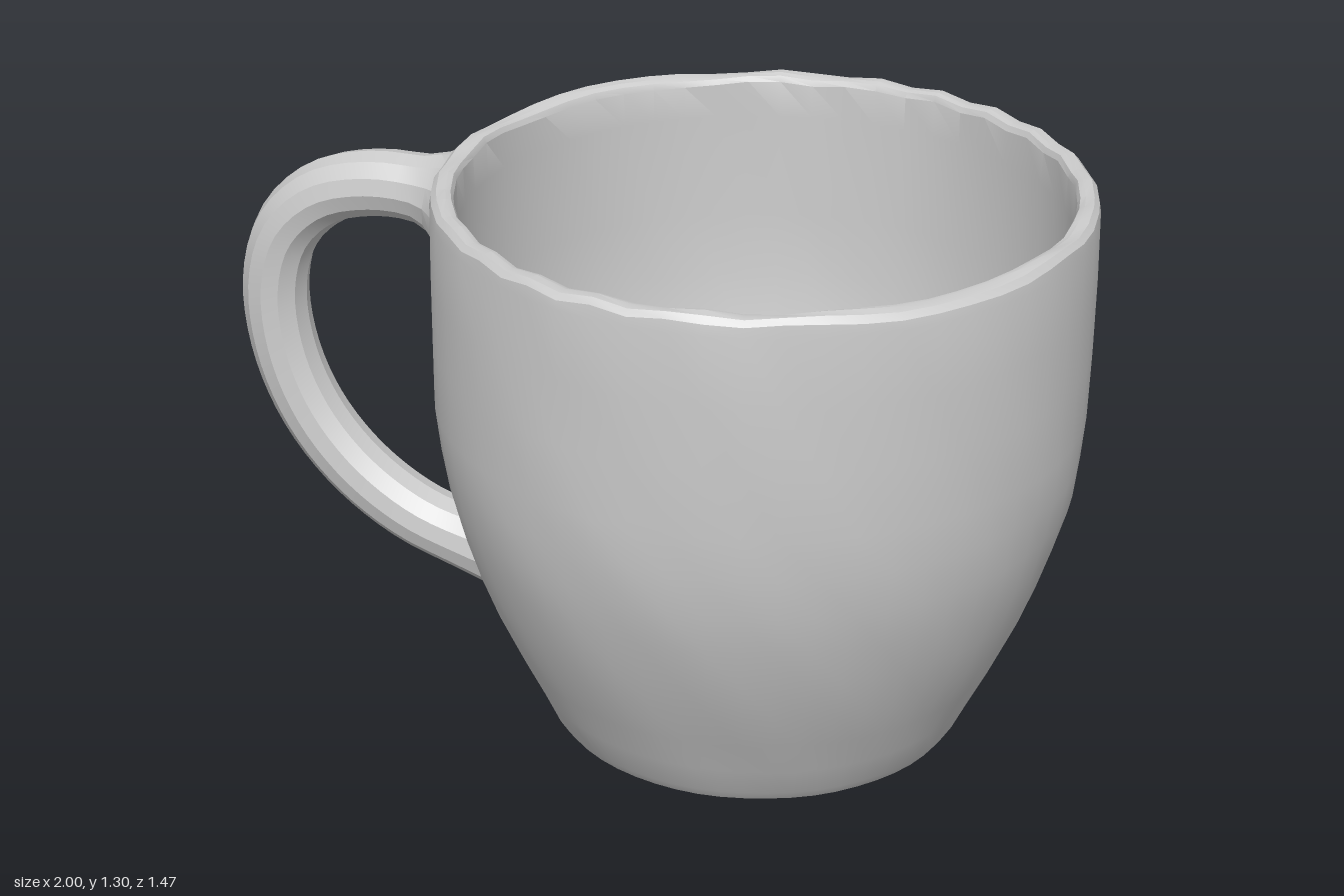
import * as THREE from 'three';
import { toCreasedNormals } from 'three/addons/utils/BufferGeometryUtils.js';

const CUP_X = 0.26, CUP_Z = -0.005;

// Outer wall: [radius, height], from the foot to just below the rim
const WALL = [
  [0.488, 0.035], [0.522, 0.11], [0.566, 0.2], [0.612, 0.3], [0.651, 0.4], [0.684, 0.5],
  [0.71, 0.6], [0.725, 0.7], [0.734, 0.8], [0.737, 0.95], [0.738, 1.1], [0.735, 1.26],
];
// Inner wall, from the rim down to the rounded floor
const INSIDE = [
  [0.682, 1.285], [0.68, 1.2], [0.68, 0.95], [0.67, 0.8], [0.645, 0.6], [0.612, 0.5],
  [0.572, 0.4], [0.515, 0.3], [0.44, 0.21], [0.35, 0.15], [0.22, 0.11], [0, 0.095],
];

function wallRadius(y) {
  if (y <= WALL[0][1]) return WALL[0][0];
  for (let i = 1; i < WALL.length; i++) {
    const [r0, y0] = WALL[i - 1], [r1, y1] = WALL[i];
    if (y <= y1) return r0 + (r1 - r0) * (y - y0) / (y1 - y0);
  }
  return WALL[WALL.length - 1][0];
}

// Hand-made unevenness, a function of position only so that seams stay closed
const wobble = (x, y, z) =>
  Math.sin(9 * x + 5 * y) * Math.sin(8 * z - 6 * y + 1) + 0.6 * Math.sin(23 * x - 11 * z + 17 * y);

function moveVertices(geometry, rule) {
  const pos = geometry.attributes.position, v = new THREE.Vector3();
  for (let i = 0; i < pos.count; i++) {
    rule(v.fromBufferAttribute(pos, i), i);
    pos.setXYZ(i, v.x, v.y, v.z);
  }
}

function createBody(material) {
  const profile = [
    [0, 0], [0.25, 0], [0.445, 0], [0.47, 0.01], ...WALL,
    [0.732, 1.288], [0.72, 1.301], [0.7, 1.302], [0.688, 1.298], ...INSIDE,
  ].map(([r, y]) => new THREE.Vector2(r, y));
  const geometry = new THREE.LatheGeometry(profile, 56);
  moveVertices(geometry, (v) => {
    const w = wobble(v.x, v.y, v.z);
    if (v.y > 0.005) {
      v.x *= 1 + 0.003 * w;
      v.z *= 1 + 0.003 * w;
    }
    // Rougher rim
    if (v.y > 1.28) v.y += 0.005 * Math.sin(31 * v.x + 27 * v.z) - 0.003;
  });
  const body = new THREE.Mesh(toCreasedNormals(geometry, 0.4), material);
  body.name = 'cupBody';
  body.position.set(CUP_X, 0, CUP_Z);
  return body;
}

function createHandle(material) {
  const path = new THREE.CatmullRomCurve3([
    [-0.435, 1.17], [-0.53, 1.185], [-0.66, 1.187], [-0.79, 1.148], [-0.885, 1.055], [-0.925, 0.92],
    [-0.91, 0.75], [-0.845, 0.59], [-0.735, 0.455], [-0.59, 0.355], [-0.44, 0.305], [-0.32, 0.285], [-0.2, 0.28],
  ].map(([x, y]) => new THREE.Vector3(x, y, 0)));
  const rings = 46, sides = 12;
  const geometry = new THREE.TubeGeometry(path, rings, 0.077, sides);
  const centre = new THREE.Vector3();
  moveVertices(geometry, (v, i) => {
    const t = Math.floor(i / (sides + 1)) / rings;
    path.getPointAt(t, centre);
    // Flare both ends into the wall
    const top = Math.max(0, 1 - t / 0.08) ** 2;
    const bottom = Math.max(0, 1 - (1 - t) / 0.2) ** 2;
    const flare = 1 + 0.95 * top + 0.75 * bottom;
    v.sub(centre).multiplyScalar(flare + 0.05 * wobble(v.x, v.y, v.z));
    v.z *= 1.08 + 0.25 * top;
    v.add(centre);
    v.y = Math.min(v.y, 1.283);
    // Keep the ends buried in the wall, clear of the inside
    const dx = v.x - CUP_X, r = Math.hypot(dx, v.z), least = wallRadius(v.y) - 0.025;
    if (r < least) {
      v.x = CUP_X + dx * least / r;
      v.z *= least / r;
    }
  });
  const handle = new THREE.Mesh(toCreasedNormals(geometry, 0.4), material);
  handle.name = 'handle';
  handle.position.z = CUP_Z;
  return handle;
}

export function createModel() {
  const material = new THREE.MeshStandardMaterial({ color: 0xcccccc });
  const mug = new THREE.Group();
  mug.name = 'mug';
  mug.add(createBody(material), createHandle(material));
  return mug;
}
